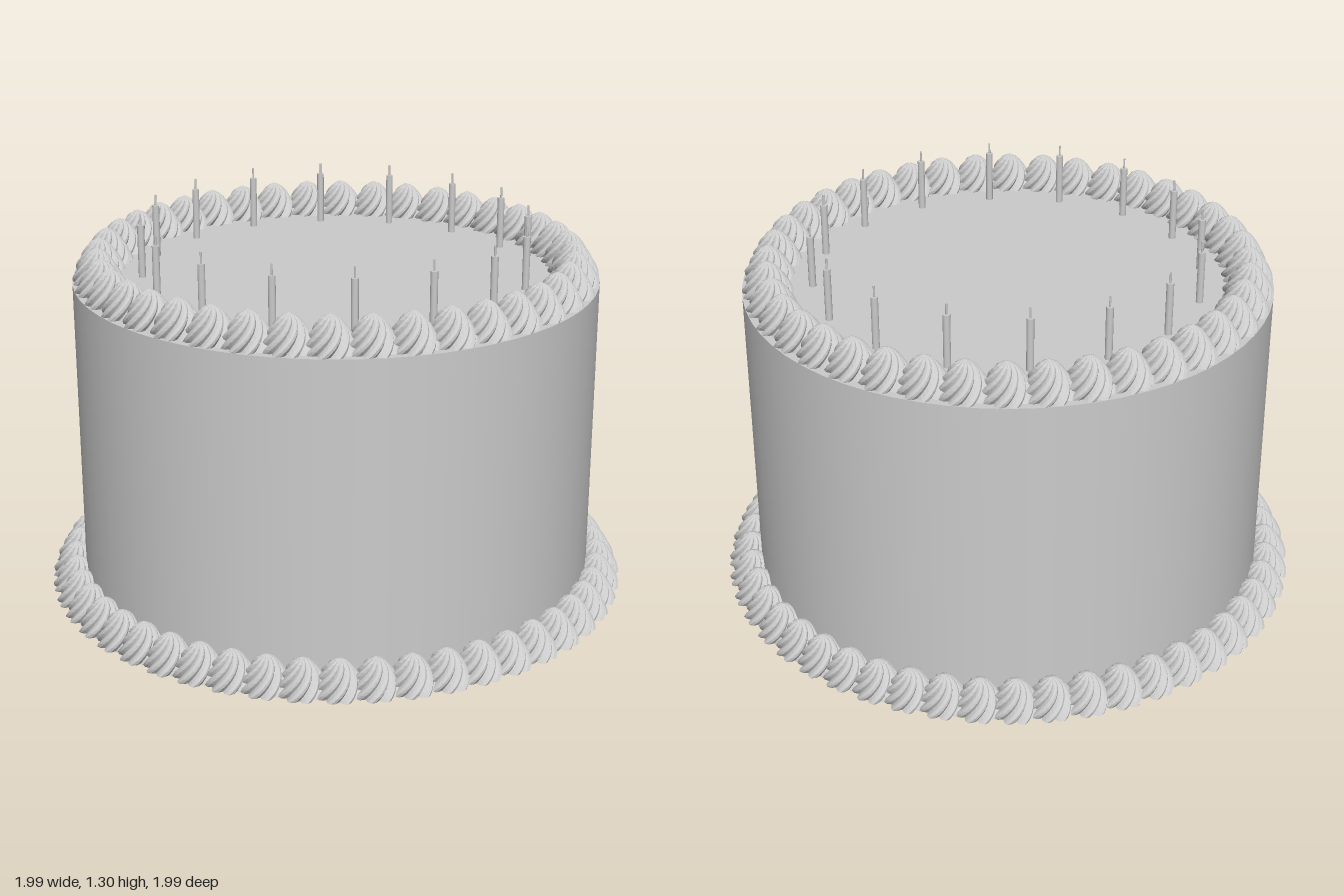
import * as THREE from 'three';

const material = new THREE.MeshStandardMaterial({ color: 0xcccccc, flatShading: true });
const smooth = new THREE.MeshStandardMaterial({ color: 0xcccccc });

// Piped rosette: a star-shaped section that twists and tapers to a tip
function rosetteGeometry() {
  const lobes = 10, segments = lobes * 4;
  const profile = new THREE.SplineCurve([
    [0.086, 0], [0.082, 0.018], [0.070, 0.045], [0.052, 0.075], [0.029, 0.103], [0.0005, 0.118],
  ].map(([r, y]) => new THREE.Vector2(r, y))).getPoints(10);
  const geometry = new THREE.LatheGeometry([new THREE.Vector2(0, 0), ...profile], segments);
  const p = geometry.attributes.position;
  for (let i = 0; i < p.count; i++) {
    const y = p.getY(i), r = Math.hypot(p.getX(i), p.getZ(i));
    const angle = Math.atan2(p.getZ(i), p.getX(i));
    // rounded ridges with sharp grooves
    const ridge = Math.abs(Math.sin(angle * lobes / 2));
    const radius = r * (0.8 + 0.22 * ridge);
    const twisted = angle - 1.5 * y / 0.118;
    p.setXYZ(i, radius * Math.cos(twisted), y, radius * Math.sin(twisted));
  }
  geometry.computeVertexNormals();
  return geometry;
}

// Places count copies of an object around the vertical axis
function ring(name, count, radius, y, offset, make) {
  const group = new THREE.Group();
  group.name = name;
  for (let i = 0; i < count; i++) {
    const a = offset + i / count * Math.PI * 2;
    const item = make();
    item.position.set(radius * Math.cos(a), y, radius * Math.sin(a));
    item.rotation.y = -a;
    group.add(item);
  }
  return group;
}

function cylinder(name, radius, height, sides, y) {
  const mesh = new THREE.Mesh(new THREE.CylinderGeometry(radius, radius, height, sides), smooth);
  mesh.name = name;
  mesh.position.y = y + height / 2;
  return mesh;
}

export function createModel() {
  const cake = new THREE.Group();
  cake.name = 'cake';
  const top = 1.083;

  cake.add(cylinder('cakeBody', 0.88, top, 64, 0));

  // Frosting borders at the foot and on the top rim
  const rosette = rosetteGeometry();
  const makeRosette = () => {
    const mesh = new THREE.Mesh(rosette, material);
    mesh.name = 'rosette';
    return mesh;
  };
  cake.add(ring('bottomFrosting', 50, 0.913, 0, 0, makeRosette));
  cake.add(ring('topFrosting', 40, 0.795, top - 0.003, 0, makeRosette));

  // Candles with thin wicks
  const makeCandle = () => {
    const candle = new THREE.Group();
    candle.name = 'candle';
    candle.add(cylinder('candleStick', 0.012, 0.178, 12, 0));
    candle.add(cylinder('wick', 0.0035, 0.037, 6, 0.178));
    return candle;
  };
  cake.add(ring('candles', 16, 0.648, top, -0.109, makeCandle));

  return cake;
}
